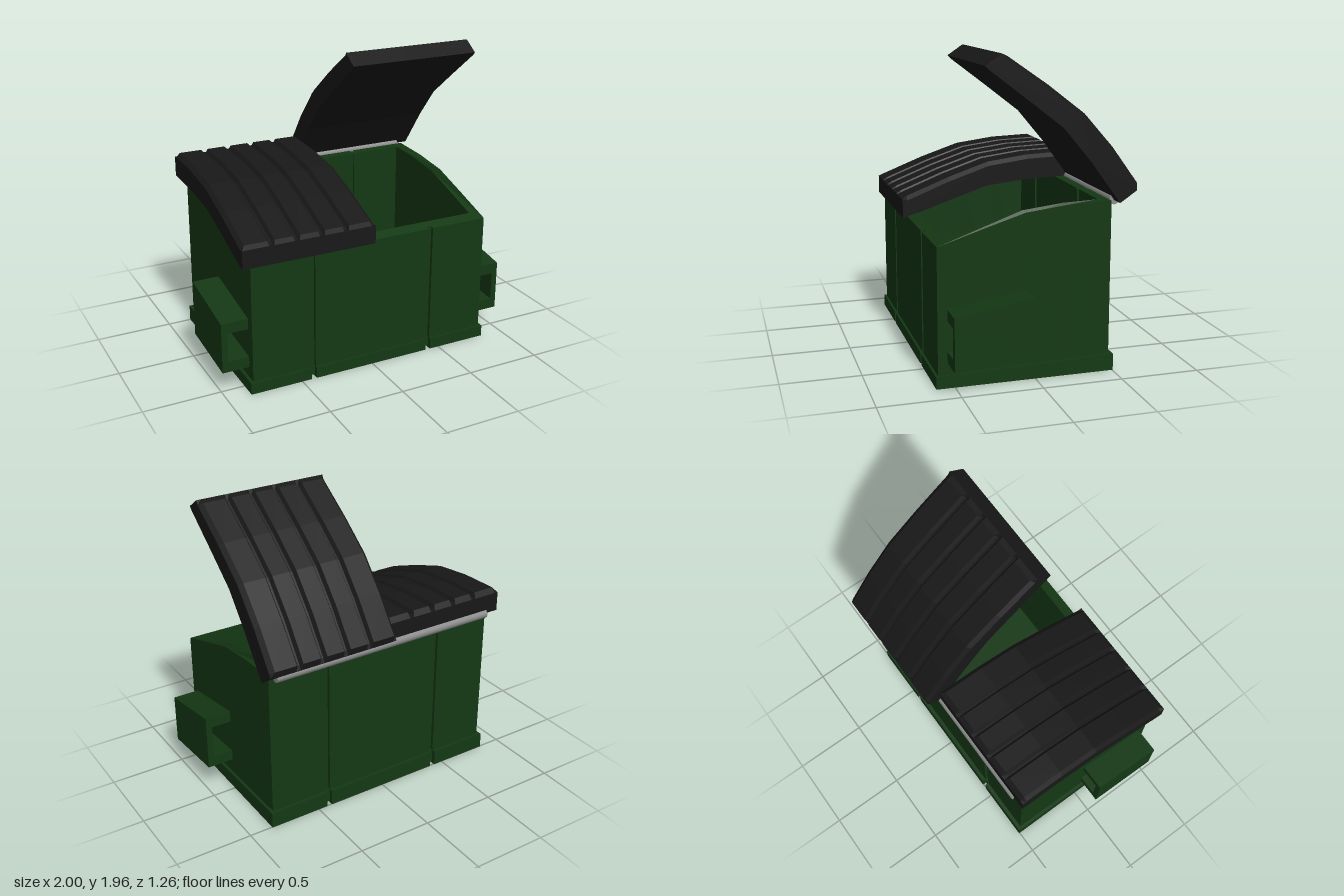
import * as THREE from 'three';

const green = new THREE.MeshStandardMaterial({ color: 0x14381a, flatShading: true });
green.color.set(0x143814);
const black = new THREE.MeshStandardMaterial({ color: 0x181818, flatShading: true });
const steel = new THREE.MeshStandardMaterial({ color: 0x8c8c8c });

const GROOVE_X = 0.418, GROOVE_W = 0.017;

// Height of the curved container edge, as [z, y] from back to front
const EDGE = [[-0.48, 1.07], [-0.2, 1.06], [0.06, 1.03], [0.32, 0.95], [0.6, 0.86]];
// Top line of a lid, same order
const LID_TOP = [[-0.495, 1.235], [-0.22, 1.225], [0.05, 1.19], [0.32, 1.1], [0.6, 0.99]];
const LID_BOTTOM = [[0.63, 0.85], [0.6, 0.855], [0.32, 0.95], [0.06, 1.035], [-0.2, 1.062], [-0.525, 1.075]];

function heightAt(line, z) {
  for (let i = 1; i < line.length; i++) {
    const [z0, y0] = line[i - 1], [z1, y1] = line[i];
    if (z <= z1 || i === line.length - 1) return y0 + (y1 - y0) * (z - z0) / (z1 - z0);
  }
}

function mesh(name, geometry, material) {
  const m = new THREE.Mesh(geometry, material);
  m.name = name;
  return m;
}

function toShape(points, Type = THREE.Shape) {
  return new Type(points.map(([a, b]) => new THREE.Vector2(a, b)));
}

// Side profile of [z, y] points extruded across x
function sideExtrude(points, x0, x1, steps = 1) {
  const g = new THREE.ExtrudeGeometry(toShape(points), { depth: x1 - x0, steps, bevelEnabled: false });
  return g.rotateY(-Math.PI / 2).translate(x1, 0, 0);
}

// Plan outline; notch > 0 cuts inward at the front or back, < 0 bulges out
function planOutline(hx, front, back, frontNotch, backNotch) {
  const pts = [];
  const across = (z, dir, notch) => {
    pts.push([-hx * dir, -z]);
    for (const s of [-1, 1]) {
      if (!notch) continue;
      const a = s * GROOVE_X * dir - GROOVE_W * dir, b = s * GROOVE_X * dir + GROOVE_W * dir;
      const zn = z - notch * dir;
      pts.push([a, -z], [a, -zn], [b, -zn], [b, -z]);
    }
    pts.push([hx * dir, -z]);
  };
  across(front, 1, frontNotch);
  for (const z of [0.32, 0.06, -0.2]) pts.push([hx, -z]);
  across(back, -1, backNotch);
  for (const z of [-0.2, 0.06, 0.32]) pts.push([-hx, -z]);
  return pts;
}

// Raises a plan shape from y0 up to a height that depends on z
function planExtrude(shape, y0, topAt) {
  const g = new THREE.ExtrudeGeometry(shape, { depth: 1, bevelEnabled: false });
  g.rotateX(-Math.PI / 2);
  const p = g.attributes.position;
  for (let i = 0; i < p.count; i++) p.setY(i, p.getY(i) > 0.5 ? topAt(p.getZ(i)) : y0);
  g.computeVertexNormals();
  return g;
}

// Solid curved lid with pressed grooves, spanning x = 0 to 0.885
function lidGeometry() {
  const width = 0.885;
  // Stations across the lid: [x, drop of the top surface]
  const stations = [[0, 0.025], [0.025, 0]];
  for (const x of [0.197, 0.362, 0.527, 0.69]) {
    stations.push([x - 0.023, 0], [x - 0.007, 0.025], [x + 0.007, 0.025], [x + 0.023, 0]);
  }
  stations.push([width - 0.028, 0], [width, 0.025]);
  const steps = stations.length - 1;
  const profile = [...LID_BOTTOM].reverse().concat([[0.63, 0.97]], [...LID_TOP].reverse(), [[-0.525, 1.205]]);
  const g = sideExtrude(profile, 0, steps, steps);
  const p = g.attributes.position;
  for (let i = 0; i < p.count; i++) {
    const [x, drop] = stations[Math.round(p.getX(i))];
    const z = p.getZ(i), y = p.getY(i);
    p.setX(i, x);
    if (z > -0.51 && z < 0.615 && y > heightAt(LID_TOP, z) - 0.01) p.setY(i, y - drop);
  }
  g.computeVertexNormals();
  return g;
}

// Rectangular fork sleeve on the +x side, open at front and back
function forkPocket() {
  const g = new THREE.Group();
  const zf = 0.54, zb = 0.055;
  const slab = (f0, b0, f1, b1) => [[zb, b0], [zf, f0], [zf, f1], [zb, b1]];
  g.add(mesh('pocketTop', sideExtrude(slab(0.41, 0.485, 0.48, 0.56), 0.81, 0.96), green));
  g.add(mesh('pocketBottom', sideExtrude(slab(0.15, 0.19, 0.22, 0.26), 0.81, 0.96), green));
  g.add(mesh('pocketOuterWall', sideExtrude(slab(0.15, 0.19, 0.48, 0.56), 0.96, 1), green));
  return g;
}

export function createModel() {
  const model = new THREE.Group();
  model.name = 'dumpster';

  // Open container with vertical grooves and a curved upper edge
  const walls = toShape(planOutline(0.825, 0.6, -0.48, 0.02, 0.02));
  walls.holes.push(toShape(planOutline(0.755, 0.53, -0.42, 0, 0.012), THREE.Path));
  model.add(mesh('containerWalls', planExtrude(walls, 0.05, z => heightAt(EDGE, z)), green));

  // Base rim, which is also the floor
  const rim = toShape(planOutline(0.845, 0.615, -0.505, 0.025, 0.025));
  model.add(mesh('baseRim', planExtrude(rim, 0.015, z => 0.075 + (0.615 - z) * 0.027), green));

  // Underside plates, leaving two channels between them
  const inner = GROOVE_X - GROOVE_W, outer = GROOVE_X + GROOVE_W;
  for (const [x0, x1] of [[-0.845, -outer], [-inner, inner], [outer, 0.845]]) {
    const plate = mesh('undersidePlate', new THREE.BoxGeometry(x1 - x0, 0.016, 1.12), green);
    plate.position.set((x0 + x1) / 2, 0.008, 0.055);
    model.add(plate);
  }

  // Fork pockets, the right one turned by mirroring its vertices
  const left = forkPocket();
  left.name = 'leftForkPocket';
  const right = forkPocket();
  right.name = 'rightForkPocket';
  right.scale.x = -1;
  model.add(left, right);

  // Closed lid on the right
  const closedLid = mesh('closedLid', lidGeometry(), black);
  closedLid.position.x = -0.885;
  model.add(closedLid);

  // Open lid on the left, swung up about the hinge
  const hinge = new THREE.Group();
  hinge.name = 'openLidHinge';
  hinge.position.set(0, 1.065, -0.51);
  hinge.rotation.x = -THREE.MathUtils.degToRad(56);
  const openLid = mesh('openLid', lidGeometry(), black);
  openLid.position.set(0, -1.075, 0.525);
  hinge.add(openLid);
  model.add(hinge);

  // Hinge rod along the back edge
  const rod = mesh('hingeRod', new THREE.CylinderGeometry(0.032, 0.032, 1.59, 12), steel);
  rod.rotation.z = Math.PI / 2;
  rod.position.set(0, 1.07, -0.51);
  model.add(rod);

  return model;
}
